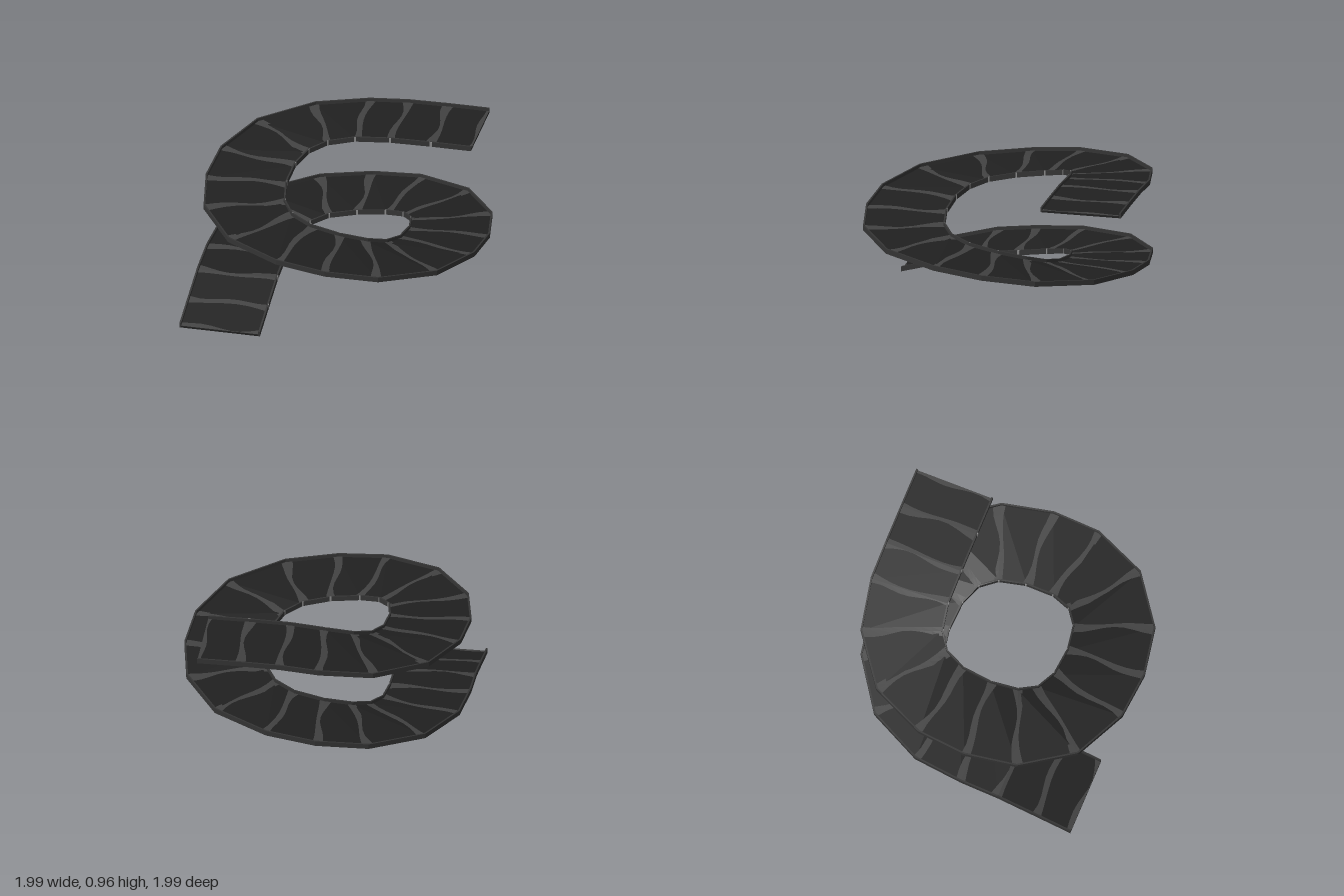
import * as THREE from 'three';

const HALF = 0.286, CURB_W = 0.012, CURB_H = 0.036, DECK_T = 0.012;

const asphalt = new THREE.MeshStandardMaterial({ color: 0x202020 });
asphalt.name = 'asphalt';
const kerbGrey = new THREE.MeshStandardMaterial({ color: 0x343434 });
kerbGrey.name = 'kerbGrey';
const seamGrey = new THREE.MeshStandardMaterial({ color: 0x414141, side: THREE.DoubleSide });
seamGrey.name = 'seamGrey';
const jointGrey = new THREE.MeshStandardMaterial({ color: 0x8a8a8a });
jointGrey.name = 'jointGrey';

// Slightly squared helix: 0 degrees is the left edge, 90 is the back
const quarterHeights = [0.188, 0.32, 0.467, 0.612, 0.757, 0.9];
function helix(deg) {
  const a = THREE.MathUtils.degToRad(deg);
  const r = 0.71 + 0.042 * Math.sin(2 * a) ** 2;
  const q = THREE.MathUtils.clamp(Math.floor(deg / 90), 0, 4);
  const y = THREE.MathUtils.lerp(quarterHeights[q], quarterHeights[q + 1], deg / 90 - q);
  return new THREE.Vector3(-r * Math.cos(a), y, -r * Math.sin(a));
}

// Stations along the road: centre point and outward direction
function makeStations() {
  const list = [];
  const add = (p, out) => list.push({ p, out });
  for (const [z, y] of [[0.865, 0], [0.6, 0.074], [0.32, 0.15]]) {
    add(new THREE.Vector3(-0.71, y, z), new THREE.Vector3(-1, 0, 0));
  }
  for (let i = 0; i <= 20; i++) {
    const deg = -3 + 22.4 * i;
    const t = helix(deg + 0.5).sub(helix(deg - 0.5));
    add(helix(deg), new THREE.Vector3(t.z, 0, -t.x).normalize());
  }
  for (const [x, y] of [[0.2, 0.914], [0.49, 0.919], [0.775, 0.919]]) {
    add(new THREE.Vector3(x, y, -0.71), new THREE.Vector3(0, 0, -1));
  }
  return list;
}
const stations = makeStations();
const last = stations.length - 1;

// Point on the road at fractional station s, sideways offset o, height h
function roadPoint(s, o, h) {
  s = THREE.MathUtils.clamp(s, 0, last);
  const i = Math.min(Math.floor(s), last - 1);
  const at = (k) => stations[k].p.clone().addScaledVector(stations[k].out, o);
  const v = at(i).lerp(at(i + 1), s - i);
  v.y += h;
  return v;
}

function facets(quads) {
  const pos = [];
  for (const [a, b, c, d] of quads) {
    for (const v of [a, b, c, a, c, d]) pos.push(v.x, v.y, v.z);
  }
  const g = new THREE.BufferGeometry();
  g.setAttribute('position', new THREE.Float32BufferAttribute(pos, 3));
  g.computeVertexNormals();
  return g;
}

// Sweep a rectangle along the road between the given stations
function sweepQuads(o0, o1, h0, h1, steps) {
  const corners = [[o0, h0], [o1, h0], [o1, h1], [o0, h1]];
  const rings = steps.map((s) => corners.map(([o, h]) => roadPoint(s, o, h)));
  const quads = [];
  for (let i = 0; i < rings.length - 1; i++) {
    for (let k = 0; k < 4; k++) {
      const n = (k + 1) % 4;
      quads.push([rings[i][k], rings[i][n], rings[i + 1][n], rings[i + 1][k]]);
    }
  }
  quads.push([...rings[0]].reverse(), rings[rings.length - 1]);
  return quads;
}

// Wavy pale band across the deck at one station
function seamQuads(i) {
  const rows = [];
  const n = 8;
  for (let k = 0; k <= n; k++) {
    const u = (k / n) * 2 - 1;
    const o = u * (HALF - CURB_W);
    const j = Math.min(i, last - 1);
    const len = roadPoint(j, o, 0).distanceTo(roadPoint(j + 1, o, 0));
    const half = 0.017 + 0.019 * Math.abs(u) ** 2 + 0.005 * Math.sin(4 * u + i * 1.7);
    const drift = 0.014 * Math.sin(3.2 * u + i * 2.1);
    const before = Math.min((drift - half) / len, 0);
    const after = Math.max((drift + half) / len, 0);
    rows.push([before, 0, after].map((d) => roadPoint(i + d, o, DECK_T + 0.003)));
  }
  const quads = [];
  for (let k = 0; k < n; k++) {
    for (let c = 0; c < 2; c++) {
      quads.push([rows[k][c], rows[k][c + 1], rows[k + 1][c + 1], rows[k + 1][c]]);
    }
  }
  return quads;
}

export function createModel() {
  const model = new THREE.Group();
  model.name = 'spiralRamp';
  const add = (name, quads, material) => {
    const mesh = new THREE.Mesh(facets(quads), material);
    mesh.name = name;
    model.add(mesh);
  };
  const all = stations.map((_, i) => i);

  // Road deck and raised edges
  const inner = HALF - CURB_W;
  add('roadDeck', sweepQuads(-inner, inner, 0, DECK_T, all), asphalt);
  add('outerKerb', sweepQuads(inner, HALF, 0, CURB_H, all), kerbGrey);
  add('innerKerb', sweepQuads(-HALF, -inner, 0, CURB_H, all), kerbGrey);

  // Pale bands where the road sections meet
  add('roadSeams', all.flatMap(seamQuads), seamGrey);

  // Thin joint marks on the inner kerb
  const joints = all.slice(1, -1).flatMap((i) =>
    sweepQuads(-HALF - 0.002, -HALF + 0.003, 0.001, CURB_H + 0.001, [i - 0.03, i, i + 0.03]));
  add('kerbJoints', joints, jointGrey);
  return model;
}
